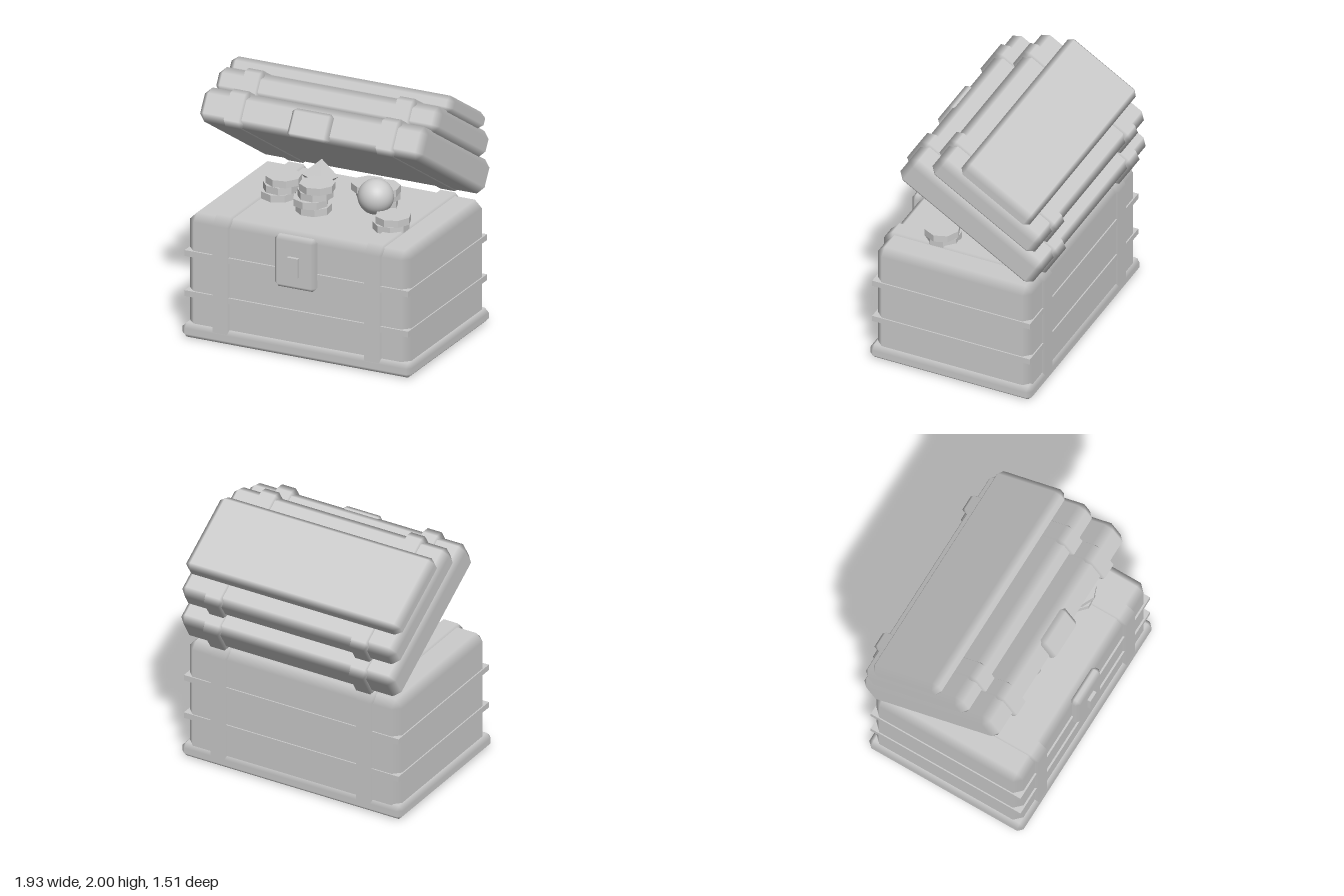
import * as THREE from 'three';
import { ConvexGeometry } from 'three/addons/geometries/ConvexGeometry.js';

const grey = new THREE.MeshStandardMaterial({ color: 0xcccccc });
grey.name = 'plain grey';
const flatGrey = grey;

// Box with single chamfers; normals follow the main faces so the chamfers shade softly.
function chamferBox(size, bevel) {
  const h = size.map(s => s / 2);
  const pts = [];
  for (let axis = 0; axis < 3; axis++)
    for (const sx of [-1, 1]) for (const sy of [-1, 1]) for (const sz of [-1, 1]) {
      const s = [sx, sy, sz];
      pts.push(new THREE.Vector3(...h.map((v, i) => s[i] * (i === axis ? v : v - bevel[i]))));
    }
  const geo = new ConvexGeometry(pts);
  const pos = geo.attributes.position, nor = geo.attributes.normal;
  for (let i = 0; i < pos.count; i++) {
    const p = [pos.getX(i), pos.getY(i), pos.getZ(i)];
    const n = p.map((v, k) => (Math.abs(v) > h[k] - 1e-5 ? Math.sign(v) : 0));
    nor.setXYZ(i, ...n);
  }
  return geo;
}

function add(parent, name, geo, x = 0, y = 0, z = 0) {
  const mesh = new THREE.Mesh(geo, grey);
  mesh.name = name;
  mesh.position.set(x, y, z);
  parent.add(mesh);
  return mesh;
}

// Block given by its x half width and centre, and its y and z ranges.
function block(parent, name, halfW, [y0, y1], [z0, z1], bevel, x = 0) {
  const size = [halfW * 2, y1 - y0, z1 - z0];
  const geo = bevel ? chamferBox(size, bevel) : new THREE.BoxGeometry(...size);
  return add(parent, name, geo, x, (y0 + y1) / 2, (z0 + z1) / 2);
}

function createBase() {
  const g = new THREE.Group();
  g.name = 'chestBase';
  block(g, 'foot', 0.963, [0, 0.115], [-0.64, 0.705], [0.035, 0.035, 0.035]);
  block(g, 'body', 0.928, [0.03, 0.99], [-0.615, 0.67], [0.058, 0.058, 0.058]);
  for (const y of [0.33, 0.653])
    block(g, 'band', 0.938, [y, y + 0.047], [-0.625, 0.685]);
  for (const x of [-0.637, 0.637])
    block(g, 'bodyStrap', 0.079, [0.01, 1.013], [-0.64, 0.7], [0.018, 0.07, 0.07], x);
  block(g, 'latchPlate', 0.172, [0.56, 0.977], [0.645, 0.73], [0.03, 0.03, 0.03]);
  block(g, 'keyhole', 0.045, [0.67, 0.825], [0.7, 0.757]);
  return g;
}

// Lid in its own frame: hinge at the origin, z runs towards the front edge.
function createLid() {
  const g = new THREE.Group();
  g.name = 'lid';
  const b = [0.05, 0.055, 0.055];
  block(g, 'lowerSlab', 0.938, [0.005, 0.27], [0.02, 1.315], b);
  block(g, 'middleSlab', 0.938, [0.255, 0.463], [0.155, 1.155], b);
  block(g, 'topSlab', 0.938, [0.445, 0.58], [0.315, 0.98], [0.05, 0.04, 0.04]);
  for (const x of [-0.637, 0.637]) {
    block(g, 'lowerStrap', 0.079, [-0.005, 0.288], [-0.008, 1.343], [0.018, 0.04, 0.06], x);
    block(g, 'middleStrap', 0.079, [0.25, 0.482], [0.13, 1.18], [0.018, 0.035, 0.05], x);
  }
  block(g, 'clasp', 0.172, [0.0, 0.225], [1.27, 1.348], [0.03, 0.025, 0.03]);
  g.position.set(0, 1.0, -0.615);
  g.rotation.x = -0.55;
  return g;
}

function createTreasure() {
  const g = new THREE.Group();
  g.name = 'treasure';
  const coin = new THREE.CylinderGeometry(0.138, 0.138, 0.056, 8).toNonIndexed();
  coin.computeVertexNormals();
  // Each stack lists the x and z of its coins from the bottom up.
  const stacks = [
    [[-0.465, 0.06], [-0.45, 0.05], [-0.428, 0.05]],
    [[-0.1, 0.2], [-0.115, 0.22], [-0.085, 0.2], [-0.065, 0.21]],
    [[0.17, -0.265], [0.145, -0.24]],
    [[0.3, -0.11], [0.31, -0.13], [0.33, -0.09]],
    [[0.58, 0.265], [0.6, 0.265]],
  ];
  stacks.forEach((stack, s) => stack.forEach(([x, z], i) => {
    add(g, 'coin', coin, x, 1.025 + i * 0.06, z).rotation.y = s * 0.5 + i * 0.3;
  }));
  add(g, 'pearl', new THREE.SphereGeometry(0.137, 32, 20), 0.405, 1.19, 0.17);
  const gem = add(g, 'gem', new THREE.OctahedronGeometry(0.14), -0.24, 1.12, -0.18);
  gem.rotation.set(0.1, 0.5, -0.15);
  return g;
}

export function createModel() {
  const model = new THREE.Group();
  model.name = 'treasureChest';
  model.add(createBase(), createLid(), createTreasure());
  return model;
}
